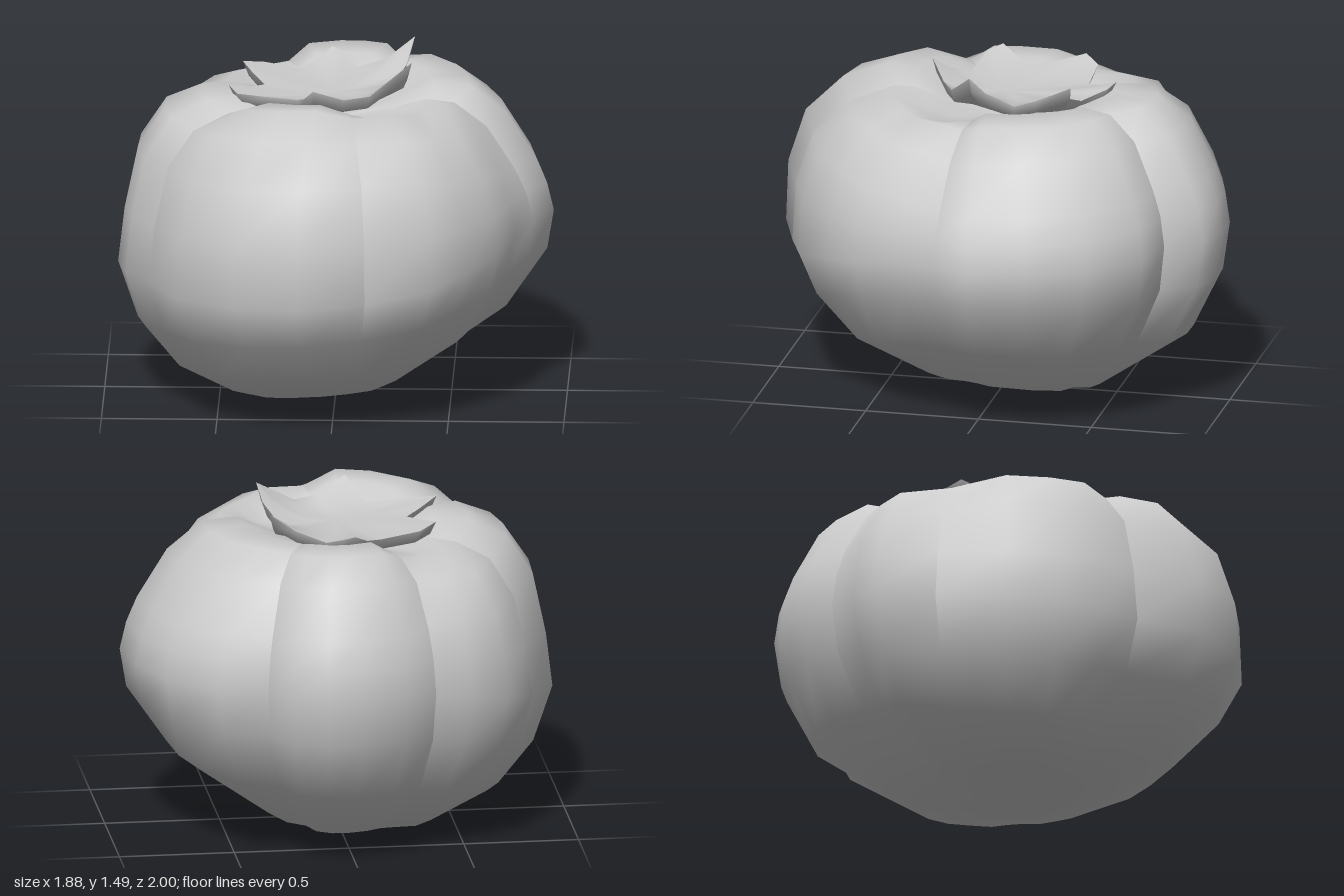
import * as THREE from 'three';

const skin = new THREE.MeshStandardMaterial({ color: 0xcccccc });
skin.name = 'plain grey';

// Smooth surface through rows of points, rows[i][j], skipping zero-area faces
function skinRows(rows) {
  const n = rows[0].length, pts = rows.flat(), index = [];
  const face = (...ids) => {
    const [a, b, c] = ids.map(k => new THREE.Vector3(...pts[k]));
    if (b.sub(a).cross(c.sub(a)).length() > 1e-7) index.push(...ids);
  };
  for (let i = 0; i < rows.length - 1; i++) {
    for (let j = 0; j < n - 1; j++) {
      const a = i * n + j, b = a + n;
      face(a, b, a + 1);
      face(b, b + 1, a + 1);
    }
  }
  const geo = new THREE.BufferGeometry();
  geo.setAttribute('position', new THREE.Float32BufferAttribute(pts.flat(), 3));
  geo.setIndex(index);
  geo.computeVertexNormals();
  return geo;
}

// Meridians as [share of the outline radius, height], from base to crown
const meridians = {
  right: [[0, 0], [.37, .1], [.78, .37], [.97, .63], [1, .8], [.97, .92], [.92, 1.03], [.78, 1.24], [.62, 1.36], [.45, 1.37], [.27, 1.29], [0, 1.22]],
  front: [[0, 0], [.37, .07], [.7, .23], [.9, .44], [1, .63], [.99, .9], [.91, 1.14], [.74, 1.31], [.53, 1.4], [.4, 1.39], [.27, 1.3], [0, 1.22]],
  left: [[0, 0], [.5, .02], [.75, .15], [.91, .34], [1, .59], [.97, .83], [.91, 1.1], [.79, 1.27], [.62, 1.34], [.45, 1.35], [.27, 1.3], [0, 1.22]],
  back: [[0, 0], [.44, .05], [.84, .33], [.97, .6], [1, .81], [.98, .95], [.94, 1.06], [.83, 1.27], [.68, 1.37], [.5, 1.37], [.27, 1.28], [0, 1.22]],
};

// Plan outline [x, z] of each lobe from seam to seam, and how far
// its shoulder lies lower on rows 7 to 10
const level = [0, 0, 0, 0];
const lobes = {
  frontLeftLobe: { outline: [[.86, .12], [.78, .3], [.71, .5], [.58, .65], [.43, .81], [.15, .91]], low: [.02, .05, .11, .04] },
  frontLobe: { outline: [[.15, .91], [-.14, 1], [-.41, .94], [-.67, .75], [-.8, .44]], low: level },
  rightLobe: { outline: [[-.8, .44], [-.9, .28], [-.94, .08], [-.93, -.16], [-.81, -.45]], low: level },
  backRightLobe: { outline: [[-.81, -.45], [-.67, -.69], [-.5, -.76], [-.34, -.83]], low: [.03, .06, .09, .03] },
  backLobe: { outline: [[-.34, -.83], [-.2, -.94], [0, -1], [.15, -1], [.3, -.95], [.39, -.8]], low: level },
  backLeftLobe: { outline: [[.39, -.8], [.6, -.75], [.8, -.54], [.9, -.3], [.94, -.04], [.86, .12]], low: level },
};

// How far each row sinks and pulls in at a seam
const sink = [0, 0, 0, 0, 0, 0, .01, .03, .05, .05, .02, 0];
const pull = [0, 0, 0, 0, .005, .01, .015, .02, .02, 0, 0, 0];

function lobeGeometry({ outline, low }) {
  const last = outline.length - 1;
  return skinRows(sink.map((s, i) => outline.map(([x, z], j) => {
    const w = (x * x) / (x * x + z * z);
    const mx = meridians[x > 0 ? 'right' : 'left'][i];
    const mz = meridians[z > 0 ? 'front' : 'back'][i];
    // seams are full depth, but shallow at the back left
    const seam = j > 0 && j < last ? 0 : x > 0 && z < 0 ? .4 : 1;
    const share = mx[0] * w + mz[0] * (1 - w) - seam * pull[i];
    const drop = seam ? seam * s : (low[i - 7] ?? 0) * Math.sqrt(Math.sin(Math.PI * j / last));
    return [x * share, mx[1] * w + mz[1] * (1 - w) - drop, z * share];
  })));
}

// Let the seams fade out towards the base by sharing normals between lobes
function fadeSeams(geos) {
  const sums = new Map(), p = new THREE.Vector3(), n = new THREE.Vector3();
  const visit = act => geos.forEach(g => {
    for (let k = 0; k < g.attributes.position.count; k++) {
      p.fromBufferAttribute(g.attributes.position, k);
      if (p.y > (p.x > .7 ? .85 : .45)) continue;
      act(g.attributes.normal, k, p.toArray().map(v => Math.round(v * 1e4)).join());
    }
  });
  visit((normal, k, key) => {
    if (!sums.has(key)) sums.set(key, new THREE.Vector3());
    sums.get(key).add(n.fromBufferAttribute(normal, k));
  });
  visit((normal, k, key) => {
    n.copy(sums.get(key)).normalize();
    normal.setXYZ(k, n.x, n.y, n.z);
  });
}

// Six-pointed crown outline as [x, height, z]
const crown = [
  [.33, 1.49, .08], [.15, 1.37, .2], [.04, 1.37, .26], [-.09, 1.43, .34], [-.13, 1.38, .28],
  [-.16, 1.35, .19], [-.3, 1.36, .18], [-.42, 1.37, .17], [-.46, 1.39, .11],
  [-.37, 1.36, .02], [-.31, 1.35, -.05], [-.37, 1.37, -.18], [-.41, 1.39, -.27],
  [-.33, 1.37, -.34], [-.16, 1.34, -.34], [-.09, 1.36, -.42], [-.03, 1.4, -.49],
  [.02, 1.38, -.46], [.08, 1.34, -.36], [.21, 1.39, -.34], [.33, 1.48, -.37],
  [.3, 1.4, -.21], [.25, 1.35, -.1], [.31, 1.42, .01],
];

// Crown surface at share t of the outline, lowered by drop; flat in the middle
const crownRing = (t, drop) => [...crown, crown[0]].map(([x, y, z]) =>
  [x * t, 1.335 + (y - 1.335) * t ** 3 - drop, z * t]);

export function createModel() {
  const model = new THREE.Group();
  model.name = 'fruit';
  const add = (name, geo) => {
    const mesh = new THREE.Mesh(geo, skin);
    mesh.name = name;
    model.add(mesh);
    return geo;
  };
  fadeSeams(Object.entries(lobes).map(([name, lobe]) => add(name, lobeGeometry(lobe))));
  add('leafCrownTop', skinRows([[1, 0], [.8, 0], [.5, 0], [.2, 0], [0, 0]].map(r => crownRing(...r))));
  add('leafCrownUnderside', skinRows([[0, .05], [.6, .05], [.94, .05], [1, 0]].map(r => crownRing(...r))));
  return model;
}
